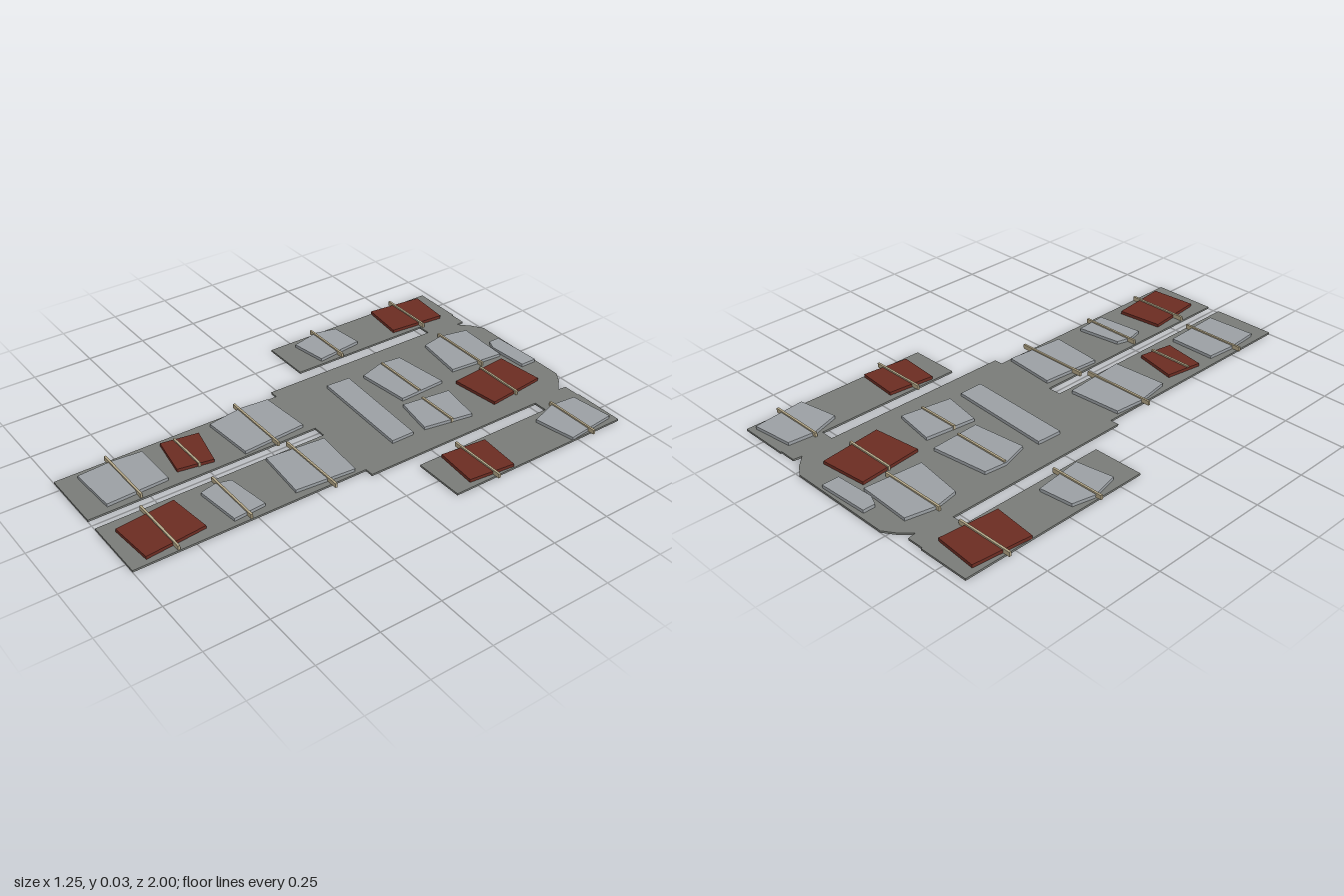
import * as THREE from 'three';

const mat = (name, color) => {
  const m = new THREE.MeshStandardMaterial({ color });
  m.name = name;
  return m;
};

// Flat slab from an outline of [x, z] points, standing on height y
function slab(name, outline, y, height, material) {
  const shape = new THREE.Shape(outline.map(([x, z]) => new THREE.Vector2(x, -z)));
  const geo = new THREE.ExtrudeGeometry(shape, { depth: height, bevelEnabled: false });
  geo.rotateX(-Math.PI / 2);
  const mesh = new THREE.Mesh(geo, material);
  mesh.name = name;
  mesh.position.y = y;
  return mesh;
}

export function createModel() {
  const cloth = mat('grey cloth', 0x787b77);
  const steel = mat('pale steel', 0x9a9fa3);
  const rust = mat('rust red', 0x6b2c22);
  const cord = mat('tan cord', 0xb3a687);
  const model = new THREE.Group();
  model.name = 'patchedSuit';

  // Suit: half outline from neck to crotch, mirrored
  const half = [
    [0.225, -1], [0.27, -0.97], [0.315, -0.925], [0.32, -0.96], [0.39, -0.96], [0.39, -0.965],
    [0.605, -0.965], [0.605, -0.15], [0.392, -0.15], [0.392, -0.78], [0.335, -0.78],
    [0.335, 0.03], [0.298, 0.03], [0.298, 1], [0.028, 1], [0.028, 0.03],
  ];
  const mirrored = half.map(([x, z]) => [-x, z]).reverse();
  model.add(slab('suit', [...half, ...mirrored], 0, 0.008, cloth));

  // Armour plates: slightly crooked quads and pentagons
  const plates = [
    ['neckPlate', steel, [[-0.11, -0.98], [0.105, -0.99], [0.105, -0.92], [-0.065, -0.91], [-0.11, -0.93]]],
    ['rightChestPlate', steel, [[-0.24, -0.91], [-0.01, -0.9], [-0.03, -0.66], [-0.245, -0.69], [-0.265, -0.79]]],
    ['leftChestPlate', rust, [[0.02, -0.88], [0.22, -0.9], [0.25, -0.64], [0.045, -0.615]]],
    ['rightRibPlate', steel, [[-0.23, -0.54], [0.01, -0.57], [0.02, -0.36], [-0.205, -0.335], [-0.24, -0.45]]],
    ['leftRibPlate', steel, [[0.08, -0.545], [0.26, -0.515], [0.225, -0.305], [0.055, -0.335]]],
    ['bellyPlate', steel, [[-0.225, -0.275], [0.225, -0.25], [0.225, -0.15], [-0.23, -0.17]]],
    ['rightShoulderPlate', rust, [[-0.58, -0.915], [-0.4, -0.9], [-0.42, -0.655], [-0.605, -0.675]]],
    ['leftShoulderPlate', steel, [[0.405, -0.92], [0.58, -0.94], [0.605, -0.72], [0.435, -0.69], [0.395, -0.81]]],
    ['rightForearmPlate', steel, [[-0.575, -0.46], [-0.435, -0.475], [-0.41, -0.27], [-0.565, -0.245], [-0.595, -0.37]]],
    ['leftForearmPlate', rust, [[0.42, -0.44], [0.6, -0.425], [0.58, -0.23], [0.4, -0.245]]],
    ['rightThighPlate', steel, [[-0.285, 0.08], [-0.06, 0.065], [-0.04, 0.34], [-0.27, 0.355], [-0.295, 0.2]]],
    ['leftThighPlate', steel, [[0.06, 0.05], [0.285, 0.07], [0.265, 0.32], [0.04, 0.3]]],
    ['rightKneePlate', rust, [[-0.245, 0.42], [-0.065, 0.46], [-0.09, 0.605], [-0.27, 0.575]]],
    ['leftKneePlate', steel, [[0.08, 0.475], [0.265, 0.45], [0.275, 0.585], [0.08, 0.605], [0.063, 0.535]]],
    ['rightShinPlate', steel, [[-0.265, 0.655], [-0.065, 0.655], [-0.055, 0.91], [-0.265, 0.92], [-0.275, 0.78]]],
    ['leftShinPlate', rust, [[0.06, 0.705], [0.25, 0.685], [0.275, 0.935], [0.085, 0.95]]],
  ];
  for (const [name, material, outline] of plates) {
    model.add(slab(name, outline, 0.008, 0.013, material));
  }

  // Cords tied across the plates: x start, x end, z
  const cords = [
    [-0.623, -0.38, -0.79], [-0.28, 0.005, -0.79], [0.025, 0.248, -0.76], [0.38, 0.623, -0.815],
    [-0.618, -0.385, -0.36], [0.375, 0.623, -0.335], [-0.235, 0.015, -0.45], [0.063, 0.248, -0.425],
    [-0.328, -0.01, 0.21], [0.005, 0.325, 0.183], [-0.26, -0.07, 0.52], [0.03, 0.297, 0.527],
    [-0.31, -0.03, 0.785], [0.027, 0.297, 0.82],
  ];
  for (const [x0, x1, z] of cords) {
    const mesh = new THREE.Mesh(new THREE.BoxGeometry(x1 - x0, 0.018, 0.009), cord);
    mesh.name = 'cord';
    mesh.position.set((x0 + x1) / 2, 0.018, z);
    model.add(mesh);
  }
  return model;
}
